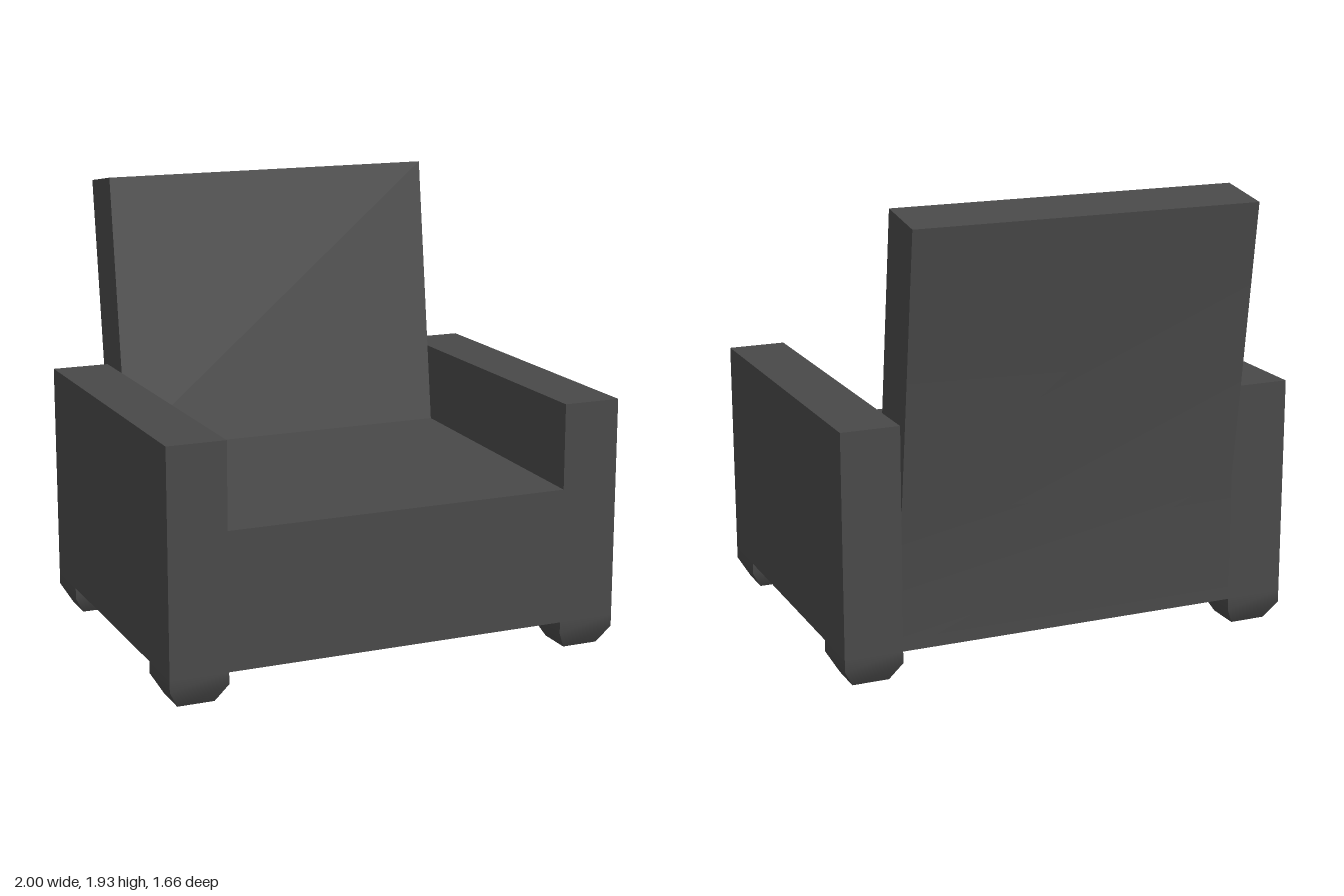
import * as THREE from 'three';
import { toCreasedNormals } from 'three/addons/utils/BufferGeometryUtils.js';

const FRONT = 0.83, BACK = -0.668, BOTTOM = 0.13;
const ARM_TOP = 1.08, INNER = 0.75, OUTER = 1;

const upholstery = new THREE.MeshStandardMaterial({ color: 0x484848 });
upholstery.name = 'dark grey upholstery';

function addPart(group, name, geometry, x = 0, y = 0, z = 0) {
  // blend shallow bends, keep real edges sharp
  const mesh = new THREE.Mesh(toCreasedNormals(geometry, 0.7), upholstery);
  mesh.name = name;
  mesh.position.set(x, y, z);
  group.add(mesh);
}

// Block foot whose lower part tapers to a smaller sole
function footGeometry(width, depth) {
  const geometry = new THREE.BoxGeometry(width, BOTTOM, depth, 1, 2, 1);
  geometry.translate(0, BOTTOM / 2, 0);
  const p = geometry.attributes.position;
  const inset = 0.046;
  for (let i = 0; i < p.count; i++) {
    if (p.getY(i) < 0.01) {
      p.setX(i, p.getX(i) - Math.sign(p.getX(i)) * inset);
      p.setZ(i, p.getZ(i) - Math.sign(p.getZ(i)) * inset);
    } else if (p.getY(i) < BOTTOM - 0.01) {
      p.setY(i, 0.08);
    }
  }
  return geometry;
}

export function createModel() {
  const chair = new THREE.Group();
  chair.name = 'armchair';

  // Seat and reclined backrest: side profile (z, y) extruded across the width
  const profile = new THREE.Shape([
    [FRONT, BOTTOM], [FRONT, 0.714], [-0.42, 0.74], [-0.578, 1.93],
    [-0.828, 1.89], [BACK, 0.69], [BACK, BOTTOM],
  ].map(([z, y]) => new THREE.Vector2(z, y)));
  const seat = new THREE.ExtrudeGeometry(profile, { depth: INNER * 2, bevelEnabled: false });
  seat.translate(0, 0, -INNER).rotateY(-Math.PI / 2);
  addPart(chair, 'seatAndBackrest', seat);

  // Armrests and feet, mirrored left and right
  const armWidth = OUTER - INNER;
  const footDepth = 0.245;
  for (const [side, label] of [[1, 'left'], [-1, 'right']]) {
    const x = side * (INNER + OUTER) / 2;
    addPart(chair, `${label}Armrest`,
      new THREE.BoxGeometry(armWidth, ARM_TOP - BOTTOM, FRONT - BACK),
      x, (ARM_TOP + BOTTOM) / 2, (FRONT + BACK) / 2);
    addPart(chair, `${label}FrontFoot`, footGeometry(armWidth, footDepth), x, 0, FRONT - footDepth / 2);
    addPart(chair, `${label}BackFoot`, footGeometry(armWidth, footDepth), x, 0, BACK + footDepth / 2);
  }
  return chair;
}
